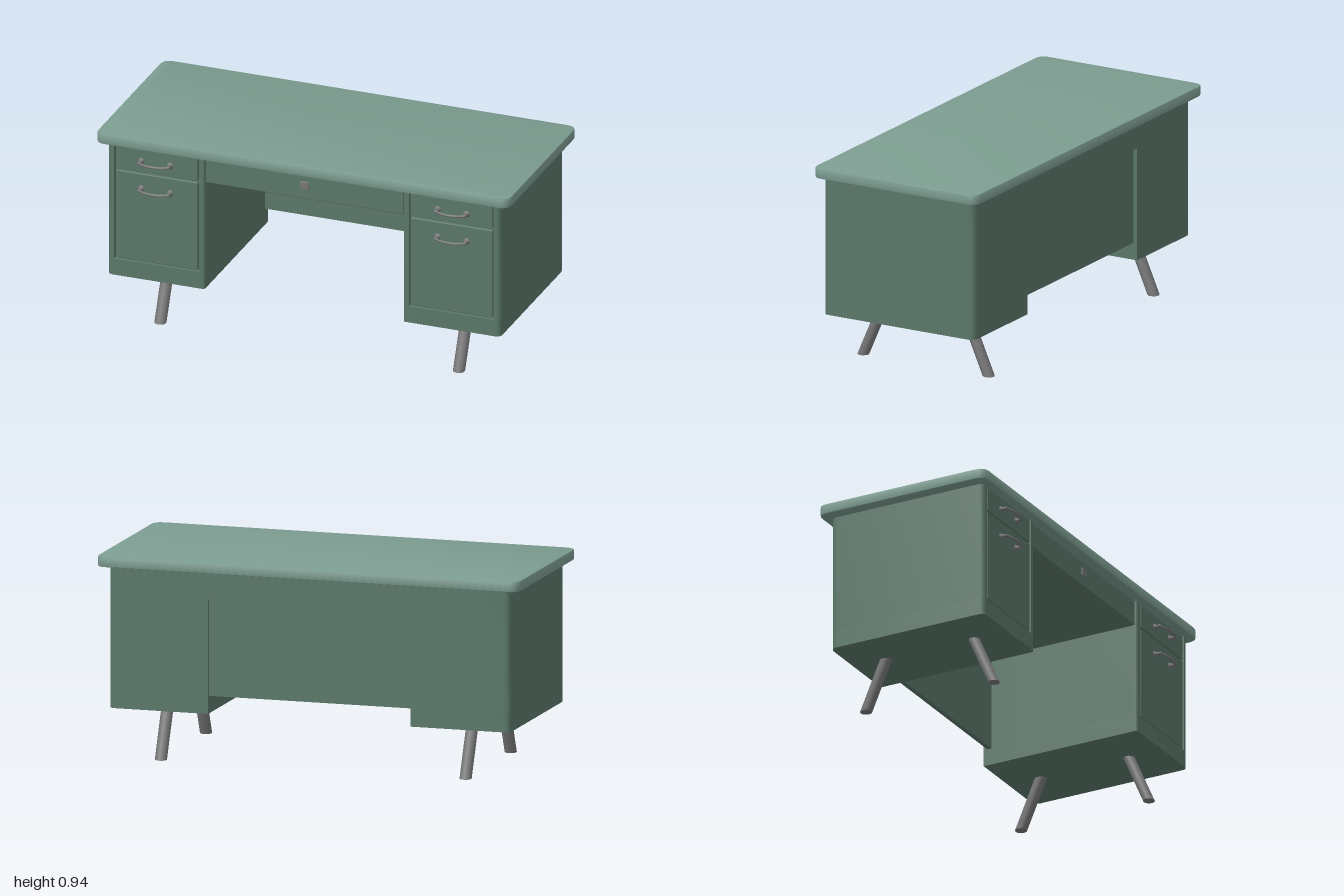
import * as THREE from 'three';
import { toCreasedNormals } from 'three/addons/utils/BufferGeometryUtils.js';
import { RoundedBoxGeometry } from 'three/addons/geometries/RoundedBoxGeometry.js';

const green = new THREE.MeshStandardMaterial({ color: 0x5b7769 });
const topGreen = new THREE.MeshStandardMaterial({ color: 0x7c9c90 });
const metal = new THREE.MeshStandardMaterial({ color: 0x777777 });

function add(parent, name, geometry, material, x = 0, y = 0, z = 0) {
  const mesh = new THREE.Mesh(geometry, material);
  mesh.name = name;
  mesh.position.set(x, y, z);
  parent.add(mesh);
  return mesh;
}

// Box given by its limits
function addBox(parent, name, material, [x0, x1], [y0, y1], [z0, z1], round = 0) {
  const size = [x1 - x0, y1 - y0, z1 - z0];
  const geometry = round ? new RoundedBoxGeometry(...size, 2, round) : new THREE.BoxGeometry(...size);
  return add(parent, name, geometry, material, (x0 + x1) / 2, (y0 + y1) / 2, (z0 + z1) / 2);
}

// Upright prism from a plan of [x, z, cornerRadius] points
function prism(plan, y0, y1, bevel = 0) {
  const shape = new THREE.Shape();
  const n = plan.length;
  plan.forEach(([x, z, r], i) => {
    const p = new THREE.Vector2(x, -z);
    const toward = ([qx, qz]) => {
      const d = new THREE.Vector2(qx, -qz).sub(p);
      return d.setLength(r).add(p);
    };
    const a = r ? toward(plan[(i + n - 1) % n]) : p;
    if (i) shape.lineTo(a.x, a.y);
    else shape.moveTo(a.x, a.y);
    if (r) {
      const b = toward(plan[(i + 1) % n]);
      shape.quadraticCurveTo(p.x, p.y, b.x, b.y);
    }
  });
  shape.closePath();
  const geometry = new THREE.ExtrudeGeometry(shape, {
    depth: y1 - y0 - 2 * bevel, curveSegments: 6, bevelEnabled: bevel > 0,
    bevelSize: bevel, bevelOffset: -bevel, bevelThickness: bevel, bevelSegments: 2,
  });
  geometry.rotateX(-Math.PI / 2).translate(0, y0 + bevel, 0);
  return toCreasedNormals(geometry, 0.6);
}

// Bowed pull on two flared posts
function makeHandle(name) {
  const handle = new THREE.Group();
  handle.name = name;
  const profile = [[0.017, 0], [0.013, 0.004], [0.008, 0.012], [0.006, 0.02], [0.008, 0.027], [0.006, 0.033], [0, 0.035]]
    .map(([r, h]) => new THREE.Vector2(r, h));
  for (const s of [-1, 1]) {
    add(handle, 'handlePost', new THREE.LatheGeometry(profile, 12).rotateX(Math.PI / 2), metal, s * 0.07);
  }
  const curve = new THREE.QuadraticBezierCurve3(
    new THREE.Vector3(-0.075, 0, 0.024), new THREE.Vector3(0, -0.004, 0.066), new THREE.Vector3(0.075, 0, 0.024));
  add(handle, 'handleBar', new THREE.TubeGeometry(curve, 16, 0.006, 8), metal);
  return handle;
}

// Slanted leg with level ends
function legGeometry(zTop, zBottom) {
  const height = 0.24;
  const geometry = new THREE.CylinderGeometry(0.0275, 0.0275, height, 10);
  const shear = new THREE.Matrix4().makeShear(0, 0, 0, (zTop - zBottom) / height, 0, 0);
  geometry.applyMatrix4(shear);
  return geometry.translate(0, height / 2, (zTop + zBottom) / 2);
}

export function createModel() {
  const desk = new THREE.Group();
  desk.name = 'desk';

  // Desktop with rounded corners and softened edges
  add(desk, 'desktop', prism(
    [[-1, -0.44, 0.05], [1, -0.44, 0.05], [1, 0.42, 0.05], [-1, 0.42, 0.05]], 0.887, 0.935, 0.005), topGreen);
  addBox(desk, 'desktopSpacer', green, [-0.9, 0.9], [0.875, 0.89], [-0.35, 0.34]);

  for (const s of [-1, 1]) {
    const pedestal = new THREE.Group();
    pedestal.name = s > 0 ? 'leftPedestal' : 'rightPedestal';
    desk.add(pedestal);
    const span = (a, b) => (s > 0 ? [a, b] : [-b, -a]);
    const plan = (points) => points.map(([x, z, r]) => [s * x, z, r]);

    // Cabinet: plain base, then a body with a recess for the drawers
    const back = [[0.48, -0.4, 0], [0.95, -0.4, 0.035]];
    add(pedestal, 'cabinetBase', prism(plan(
      [...back, [0.95, 0.39, 0.03], [0.48, 0.39, 0.015]]), 0.235, 0.315), green);
    add(pedestal, 'cabinetBody', prism(plan(
      [...back, [0.95, 0.39, 0.03], [0.918, 0.39, 0], [0.918, 0.365, 0],
        [0.508, 0.365, 0], [0.508, 0.39, 0], [0.48, 0.39, 0.015]]), 0.315, 0.882), green);

    // Drawer fronts and handles
    for (const [name, y0, y1, handleY] of [['lowerDrawer', 0.322, 0.755, 0.682], ['upperDrawer', 0.763, 0.878, 0.818]]) {
      addBox(pedestal, name, green, span(0.515, 0.911), [y0, y1], [0.36, 0.388], 0.004);
      const handle = makeHandle(name + 'Handle');
      handle.position.set(s * 0.717, handleY, 0.387);
      pedestal.add(handle);
    }

    // Splayed legs
    add(pedestal, 'frontLeg', legGeometry(0.213, 0.317), metal, s * 0.722);
    add(pedestal, 'backLeg', legGeometry(-0.238, -0.342), metal, s * 0.722);
  }

  // Centre drawer, its housing, the lock and the recessed back panel
  addBox(desk, 'centreHousing', green, [-0.49, 0.49], [0.762, 0.882], [-0.4, 0.35]);
  addBox(desk, 'centreDrawer', green, [-0.478, 0.478], [0.76, 0.878], [0.34, 0.38], 0.004);
  addBox(desk, 'lock', metal, [-0.021, 0.021], [0.806, 0.844], [0.37, 0.386], 0.003);
  addBox(desk, 'backPanel', green, [-0.49, 0.49], [0.315, 0.8], [-0.382, -0.36]);

  return desk;
}
